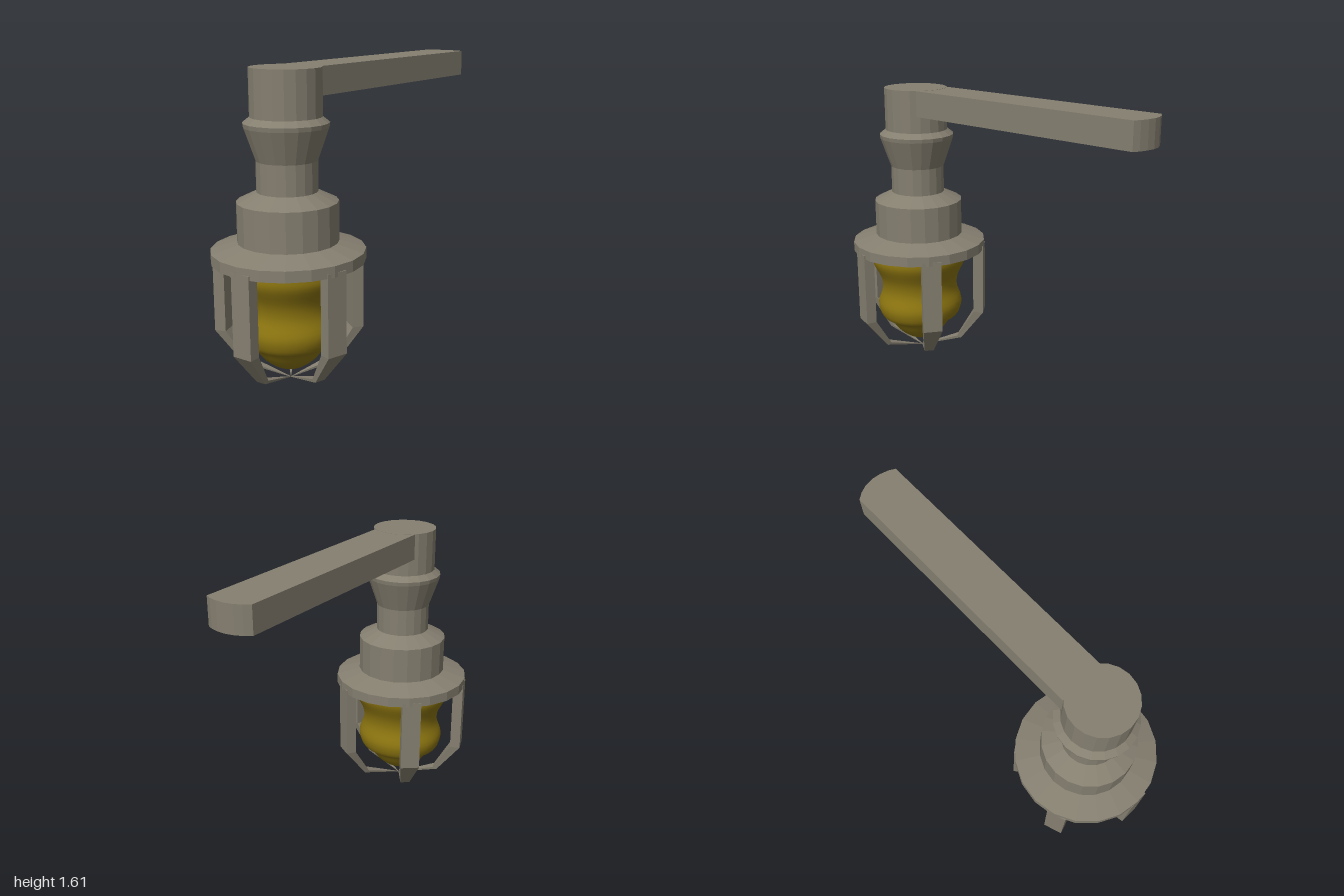
import * as THREE from 'three';

const SIDES = 20;
const metal = new THREE.MeshStandardMaterial({ color: 0x857f70, flatShading: true });
const glass = new THREE.MeshStandardMaterial({ color: 0x8c7510, side: THREE.DoubleSide });

function add(parent, name, geometry, material) {
  const mesh = new THREE.Mesh(geometry, material);
  mesh.name = name;
  parent.add(mesh);
  return mesh;
}

const points = (list) => list.map(([r, y]) => new THREE.Vector2(r, y));

// Cage bar: rectangular sections [outer r, outer y, inner r, inner y, half width], ending in a point
function barGeometry() {
  const sections = [
    [0.39, 0.67, 0.33, 0.67, 0.055],
    [0.39, 0.245, 0.33, 0.245, 0.055],
    [0.25, 0.065, 0.225, 0.075, 0.028],
    [0, 0, 0, 0.004, 0],
  ];
  const shift = 0.015;
  const position = [];
  const index = [];
  for (const [ro, yo, ri, yi, w] of sections) {
    const s = w > 0 ? shift * (w / 0.055) : 0;
    position.push(s - w, yo, ro, s + w, yo, ro, s + w, yi, ri, s - w, yi, ri);
  }
  for (let i = 0; i < sections.length - 1; i++) {
    for (let j = 0; j < 4; j++) {
      const a = i * 4 + j, b = i * 4 + (j + 1) % 4;
      index.push(a, a + 4, b, b, a + 4, b + 4);
    }
  }
  index.push(0, 1, 2, 0, 2, 3);
  const geometry = new THREE.BufferGeometry();
  geometry.setAttribute('position', new THREE.Float32BufferAttribute(position, 3));
  geometry.setIndex(index);
  geometry.computeVertexNormals();
  return geometry;
}

export function createModel() {
  const model = new THREE.Group();
  model.name = 'wallLamp';

  const lamp = new THREE.Group();
  lamp.name = 'lamp';
  lamp.position.z = 0.605;
  model.add(lamp);

  // Turned housing with collar, neck, socket and rim, hollow under the rim
  add(lamp, 'housing', new THREE.LatheGeometry(points([
    [0, 0.69], [0.33, 0.69], [0.33, 0.648], [0.393, 0.648], [0.393, 0.705],
    [0.257, 0.745], [0.257, 0.95], [0.155, 1.0], [0.155, 1.155], [0.212, 1.32],
    [0.215, 1.342], [0.18, 1.37], [0.18, 1.61], [0, 1.61],
  ]), SIDES), metal);

  // Wavy glass, a little flatter towards the wall
  const globe = new THREE.SplineCurve(points([
    [0, 0.06], [0.07, 0.075], [0.14, 0.125], [0.195, 0.195], [0.24, 0.225],
    [0.26, 0.30], [0.232, 0.39], [0.24, 0.47], [0.288, 0.57], [0.29, 0.63], [0.29, 0.69],
  ]));
  const globeGeometry = new THREE.LatheGeometry(globe.getPoints(40), 32);
  const p = globeGeometry.attributes.position;
  for (let i = 0; i < p.count; i++) {
    if (p.getZ(i) < 0) p.setZ(i, p.getZ(i) * 0.92);
  }
  globeGeometry.computeVertexNormals();
  add(lamp, 'glassGlobe', globeGeometry, glass);

  // Five guard bars meeting below the globe
  const cage = new THREE.Group();
  cage.name = 'cage';
  lamp.add(cage);
  const bar = barGeometry();
  for (let i = 0; i < 5; i++) {
    add(cage, 'cageBar', bar, metal).rotation.y = (i * Math.PI * 2) / 5;
  }

  // Slightly skewed arm with a rounded far end, drawn as x and -z
  const outline = points([
    [-0.13, -0.5], [0.12, -0.5], [0.142, 0.962], [0.11, 0.98], [0.065, 0.994],
    [0.018, 1.0], [-0.03, 0.994], [-0.07, 0.978], [-0.105, 0.955],
  ]);
  const armGeometry = new THREE.ExtrudeGeometry(new THREE.Shape(outline), { depth: 0.144, bevelEnabled: false });
  armGeometry.rotateX(-Math.PI / 2);
  add(model, 'arm', armGeometry, metal).position.y = 1.465;

  return model;
}
